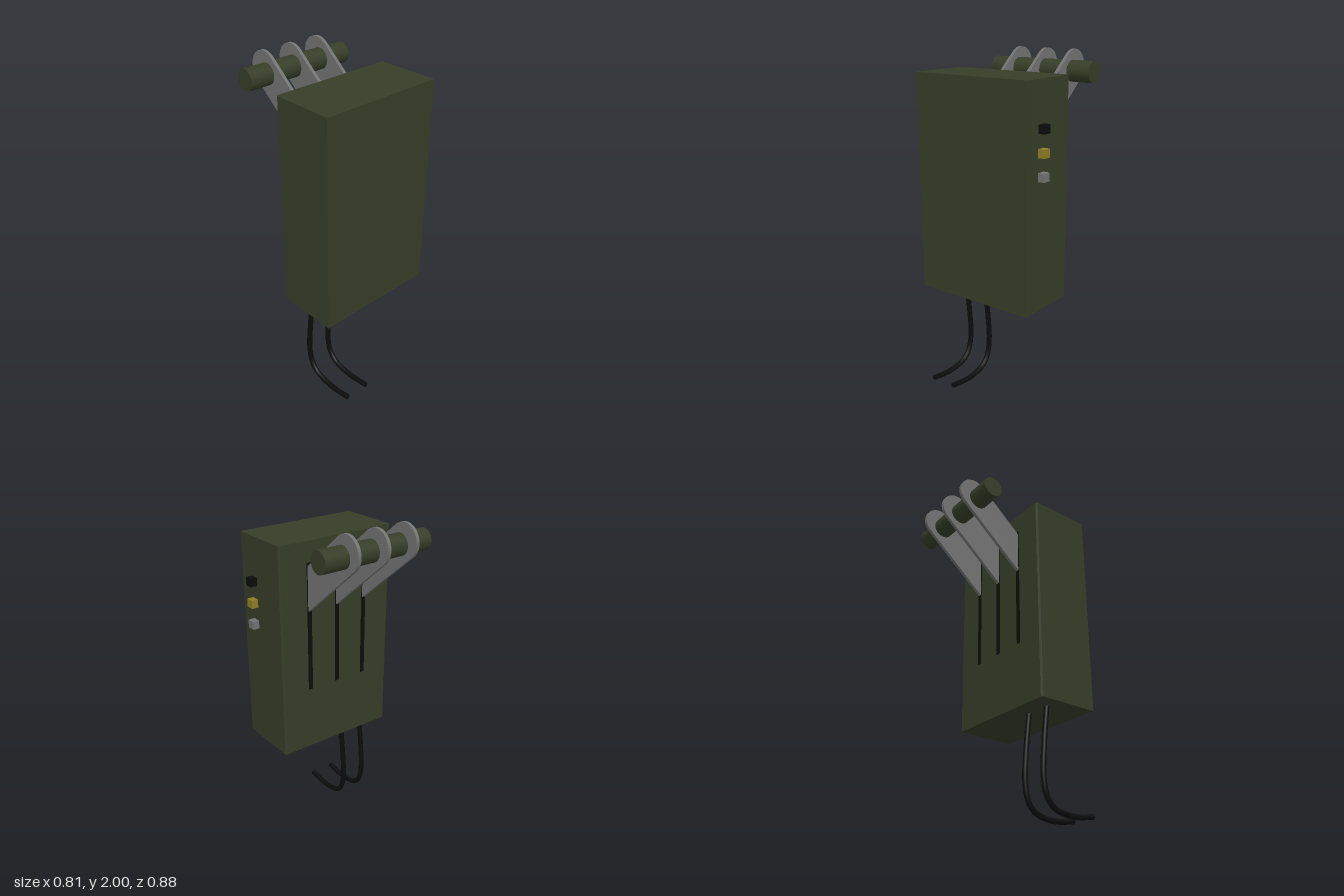
import * as THREE from 'three';

const mat = (name, color) => {
  const m = new THREE.MeshStandardMaterial({ color });
  m.name = name;
  return m;
};

export function createModel() {
  const model = new THREE.Group();
  model.name = 'leverBox';
  const olive = mat('olive', 0x363d27);
  const black = mat('black', 0x0c0c0c);
  const steel = mat('steel', 0x737373);
  const yellow = mat('yellow', 0x8f7e26);

  const add = (name, geometry, material, x = 0, y = 0, z = 0) => {
    const mesh = new THREE.Mesh(geometry, material);
    mesh.name = name;
    mesh.position.set(x, y, z);
    model.add(mesh);
    return mesh;
  };

  // Housing: plan outline with small chamfers on the back corners, extruded upward
  const plan = new THREE.Shape([
    [-0.404, -0.383], [0.362, -0.383], [0.362, -0.008],
    [0.35, 0], [-0.392, 0], [-0.404, -0.008],
  ].map(([x, y]) => new THREE.Vector2(x, y)));
  const housing = new THREE.ExtrudeGeometry(plan, { depth: 1.28, bevelEnabled: false });
  housing.rotateX(-Math.PI / 2);
  add('housing', housing, olive, 0, 0.61, 0);

  // Lever profile: straight bar with one rounded end, lying along +x
  const r = 0.101;
  const profile = new THREE.Shape();
  profile.moveTo(-0.6, -r);
  profile.lineTo(0, -r);
  profile.absarc(0, 0, r, -Math.PI / 2, Math.PI / 2, false);
  profile.lineTo(-0.6, r);
  profile.closePath();
  const lever = new THREE.ExtrudeGeometry(profile, { depth: 0.02, bevelEnabled: false, curveSegments: 12 });
  lever.translate(0, 0, -0.01);
  lever.rotateZ(THREE.MathUtils.degToRad(40));
  lever.rotateY(Math.PI / 2);

  // Levers leaning out of dark slots in the back
  for (const x of [-0.212, -0.02, 0.172]) {
    add('lever', lever, steel, x, 1.9, -0.336);
    add('leverSlot', new THREE.BoxGeometry(0.028, 0.77, 0.006), black, x, 1.385, 0);
  }

  // Grip bar through all levers
  const bar = new THREE.CylinderGeometry(0.063, 0.063, 0.704, 24);
  bar.rotateZ(Math.PI / 2);
  add('gripBar', bar, olive, -0.02, 1.877, -0.309);

  // Buttons on the left side
  [black, yellow, steel].forEach((m, i) =>
    add('button', new THREE.BoxGeometry(0.05, 0.048, 0.05), m, 0.377, 1.635 - i * 0.128, 0.258));

  // Cables hanging from the base and curling forward
  const points = [
    [0.64, 0.128], [0.39, 0.098], [0.21, 0.087], [0.108, 0.106],
    [0.052, 0.15], [0.028, 0.22], [0.021, 0.31], [0.037, 0.437],
  ].map(([y, z]) => new THREE.Vector3(0, y, z));
  const path = new THREE.CatmullRomCurve3(points);
  const cable = new THREE.TubeGeometry(path, 28, 0.016, 10);
  const cap = new THREE.CircleGeometry(0.016, 10);
  for (const x of [-0.297, -0.144]) {
    add('cable', cable, black, x);
    const end = add('cableEnd', cap, black, x, 0.037, 0.437);
    end.lookAt(end.position.clone().add(path.getTangent(1)));
  }

  return model;
}
